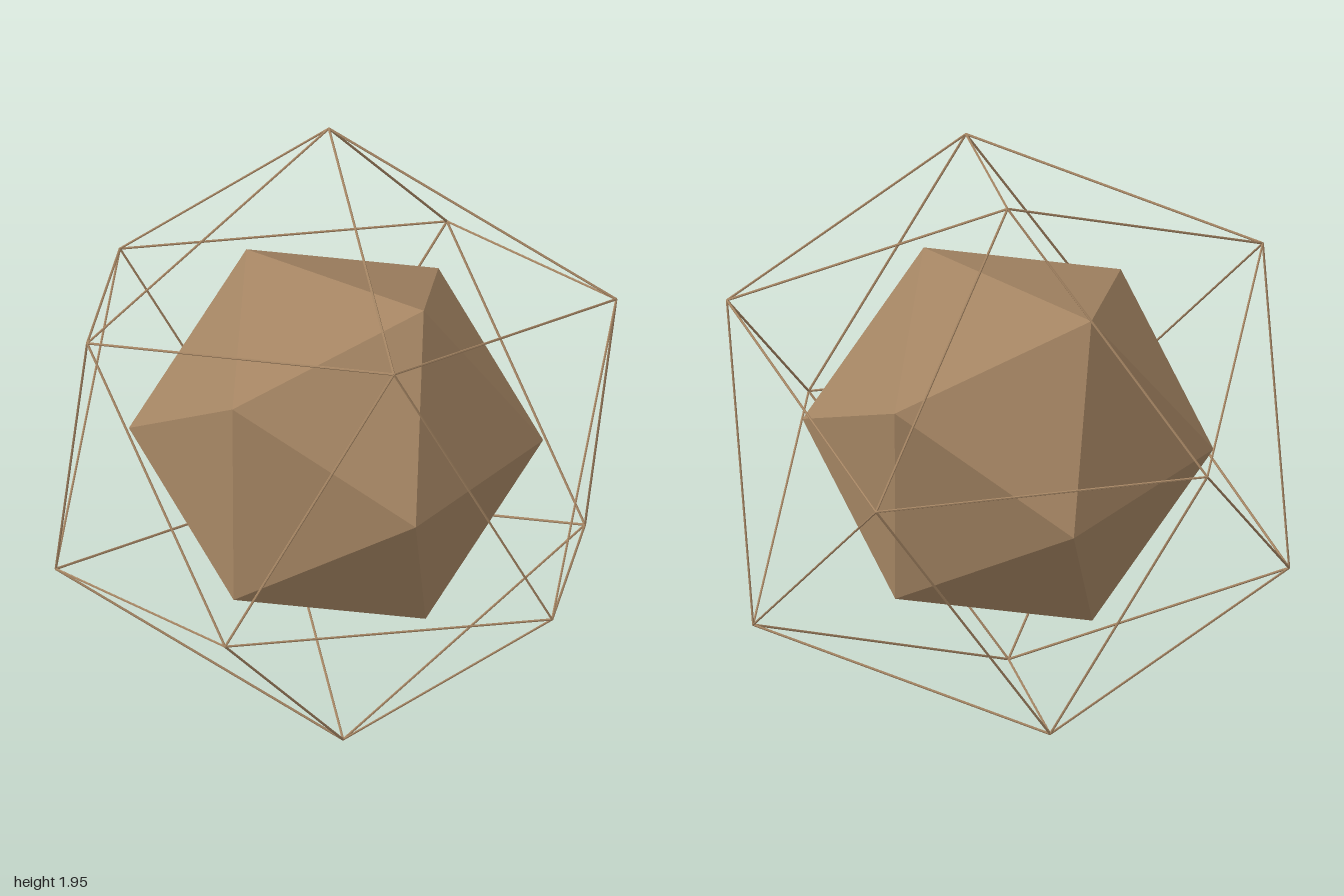
import * as THREE from 'three';
import { mergeVertices } from 'three/addons/utils/BufferGeometryUtils.js';

const CENTRE_Y = 0.973;
const material = new THREE.MeshStandardMaterial({ color: 0xa58563, flatShading: true });

// Icosahedron turned so that one of its edges runs from direction p to direction q.
function turnedIcosahedron(radius, p, q) {
  const x = q.clone().sub(p).normalize();
  const z = x.clone().cross(p.clone().add(q)).normalize();
  const y = z.clone().cross(x);
  return new THREE.IcosahedronGeometry(radius, 0)
    .applyMatrix4(new THREE.Matrix4().makeBasis(x, y, z));
}

// Thin rod between two points.
function strut(a, b, radius) {
  const dir = b.clone().sub(a);
  const mesh = new THREE.Mesh(new THREE.CylinderGeometry(radius, radius, dir.length(), 6), material);
  mesh.position.copy(a).add(b).multiplyScalar(0.5);
  mesh.quaternion.setFromUnitVectors(new THREE.Vector3(0, 1, 0), dir.normalize());
  mesh.name = 'strut';
  return mesh;
}

export function createModel() {
  const model = new THREE.Group();
  model.name = 'cagedIcosahedron';

  // Solid faceted core
  const core = new THREE.Mesh(
    turnedIcosahedron(0.669, new THREE.Vector3(0.129, 0.59, 0.29), new THREE.Vector3(0.567, 0.303, -0.178)),
    material);
  core.name = 'core';
  core.position.y = CENTRE_Y;
  model.add(core);

  // Open outer cage: one strut for every edge of a larger icosahedron
  const cage = new THREE.Group();
  cage.name = 'cage';
  cage.position.y = CENTRE_Y;
  const radius = 1.026;
  const shell = turnedIcosahedron(radius, new THREE.Vector3(0.195, 0.969, -0.273), new THREE.Vector3(0.75, 0.482, 0.513));
  shell.deleteAttribute('normal');
  shell.deleteAttribute('uv');
  const pos = mergeVertices(shell, 1e-3).getAttribute('position');
  const corners = [];
  for (let i = 0; i < pos.count; i++) {
    const v = new THREE.Vector3().fromBufferAttribute(pos, i);
    if (!corners.some(c => c.distanceTo(v) < 0.01)) corners.push(v);
  }
  corners.forEach((a, i) => corners.slice(i + 1).forEach(b => {
    if (a.distanceTo(b) < radius * 1.1) cage.add(strut(a, b, 0.004));
  }));
  model.add(cage);

  return model;
}
